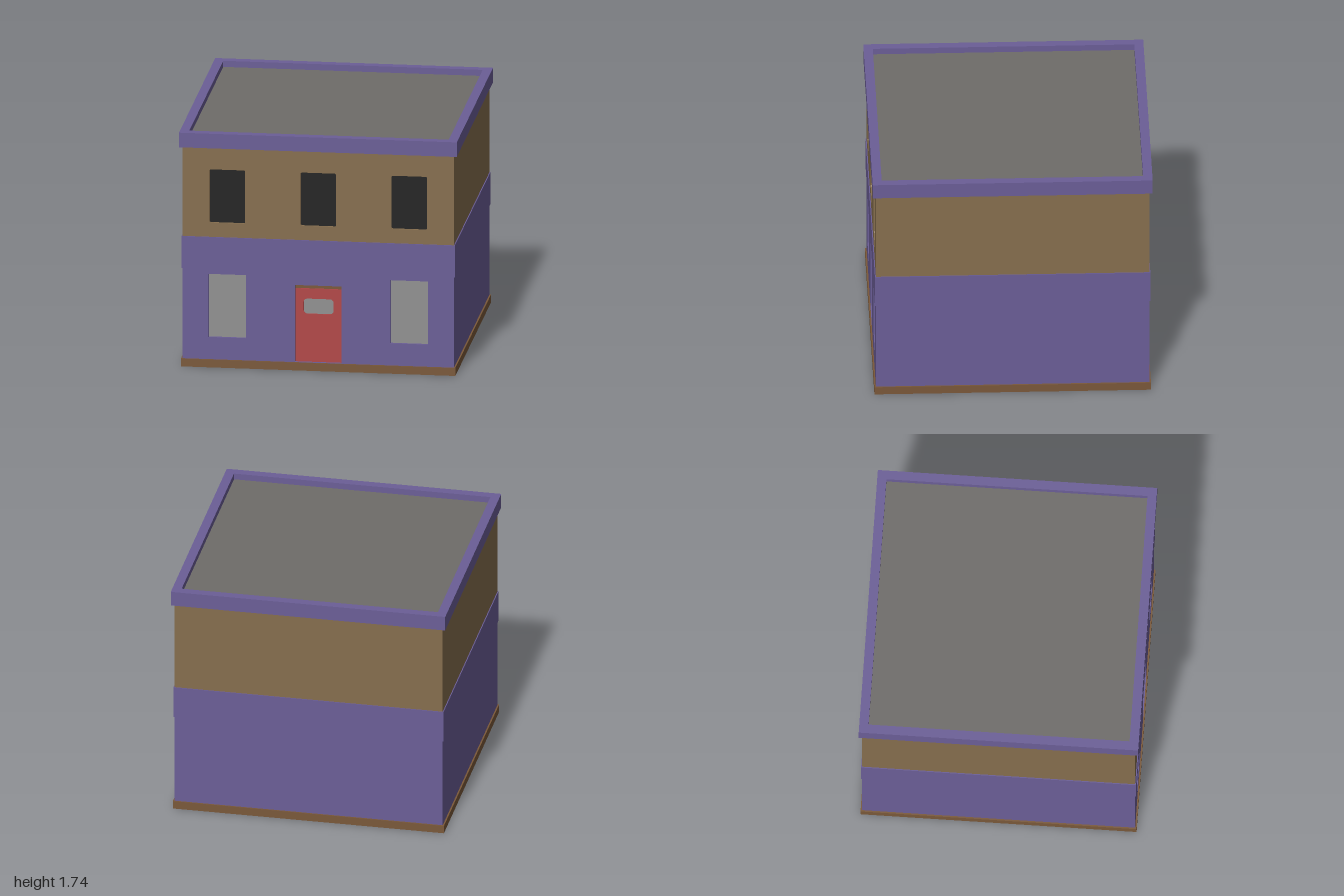
import * as THREE from 'three';

const mat = (name, color) => {
  const m = new THREE.MeshStandardMaterial({ color });
  m.name = name;
  return m;
};

// Rectangle outline with optional rounded corners, centred on x
function rect(target, cx, y0, y1, w, r = 0) {
  const a = cx - w / 2, b = cx + w / 2;
  if (!r) {
    target.moveTo(a, y0).lineTo(b, y0).lineTo(b, y1).lineTo(a, y1).closePath();
    return target;
  }
  target.moveTo(a + r, y0).lineTo(b - r, y0);
  target.absarc(b - r, y0 + r, r, -Math.PI / 2, 0);
  target.absarc(b - r, y1 - r, r, 0, Math.PI / 2);
  target.absarc(a + r, y1 - r, r, Math.PI / 2, Math.PI);
  target.absarc(a + r, y0 + r, r, Math.PI, Math.PI * 1.5);
  return target;
}

export function createModel() {
  const purple = mat('purple paint', 0x6b5e97);
  const tan = mat('tan wall', 0x866e4e);
  const brown = mat('brown trim', 0x7a5839);
  const roofGrey = mat('roof grey', 0x6e6c69);
  const paleGlass = mat('pale glass', 0x919191);
  const darkGlass = mat('dark glass', 0x222222);
  const red = mat('red door', 0xb34747);

  const group = new THREE.Group();
  const add = (name, geo, material, x = 0, y = 0, z = 0) => {
    const m = new THREE.Mesh(geo, material);
    m.name = name;
    m.position.set(x, y, z);
    group.add(m);
  };
  const slab = (name, half, y0, y1, material) =>
    add(name, new THREE.BoxGeometry(half * 2, y1 - y0, half * 2), material, 0, (y0 + y1) / 2, 0);
  const plate = (name, shape, front, depth, material) =>
    add(name, new THREE.ExtrudeGeometry(shape, { depth, bevelEnabled: false, curveSegments: 5 }),
      material, 0, 0, front - depth);

  const W = 0.977, SKIN = 0.04, GLASS = W - 0.018;
  const columns = [-0.655, 0, 0.655];
  const groundColumns = [-0.655, 0.655];

  // Plinth, painted on its underside
  slab('plinth', 0.988, 0, 0.058, [brown, brown, brown, purple, brown, brown]);

  // Storeys: solid core plus a front skin with openings
  const storey = (name, y0, y1, material, holes) => {
    add(name + 'Core', new THREE.BoxGeometry(W * 2, y1 - y0, W * 2 - SKIN), material,
      0, (y0 + y1) / 2, -SKIN / 2);
    const wall = rect(new THREE.Shape(), 0, y0, y1, W * 2);
    wall.holes.push(...holes);
    plate(name + 'Front', wall, W, SKIN, material);
  };
  const hole = (...a) => rect(new THREE.Path(), ...a);
  storey('groundFloor', 0.04, 0.75, purple, [
    ...groundColumns.map((x) => hole(x, 0.222, 0.69, 0.268)),
    hole(0, 0.06, 0.63, 0.336),
  ]);
  storey('upperFloor', 0.95, 1.64, tan,
    columns.map((x) => hole(x, 1.07, 1.465, 0.257, 0.012)));

  // Recessed window panes
  groundColumns.forEach((x) =>
    plate('groundWindow', rect(new THREE.Shape(), x, 0.222, 0.69, 0.268), GLASS, 0.008, paleGlass));
  columns.forEach((x) =>
    plate('upperWindow', rect(new THREE.Shape(), x, 1.065, 1.47, 0.265), GLASS, 0.008, darkGlass));

  // Door with a small rounded light and a lintel behind its top
  const door = rect(new THREE.Shape(), 0, 0.06, 0.602, 0.336);
  door.holes.push(hole(0, 0.415, 0.527, 0.216, 0.028));
  plate('door', door, W - 0.018, 0.015, red);
  plate('doorLight', rect(new THREE.Shape(), 0, 0.41, 0.532, 0.226), W - 0.026, 0.006, paleGlass);
  plate('doorLintel', rect(new THREE.Shape(), 0, 0.602, 0.63, 0.336), W - 0.026, 0.008, brown);

  // Fascia band between the storeys
  slab('fasciaBand', 0.984, 0.73, 0.965, purple);

  // Parapet ring around the sunken flat roof
  const ring = rect(new THREE.Shape(), 0, -1, 1, 2);
  ring.holes.push(hole(0, -0.934, 0.934, 1.868));
  const parapet = new THREE.ExtrudeGeometry(ring, { depth: 0.108, bevelEnabled: false });
  parapet.rotateX(-Math.PI / 2);
  add('parapet', parapet, purple, 0, 1.627, 0);
  slab('roof', 0.934, 1.63, 1.69, roofGrey);

  return group;
}
